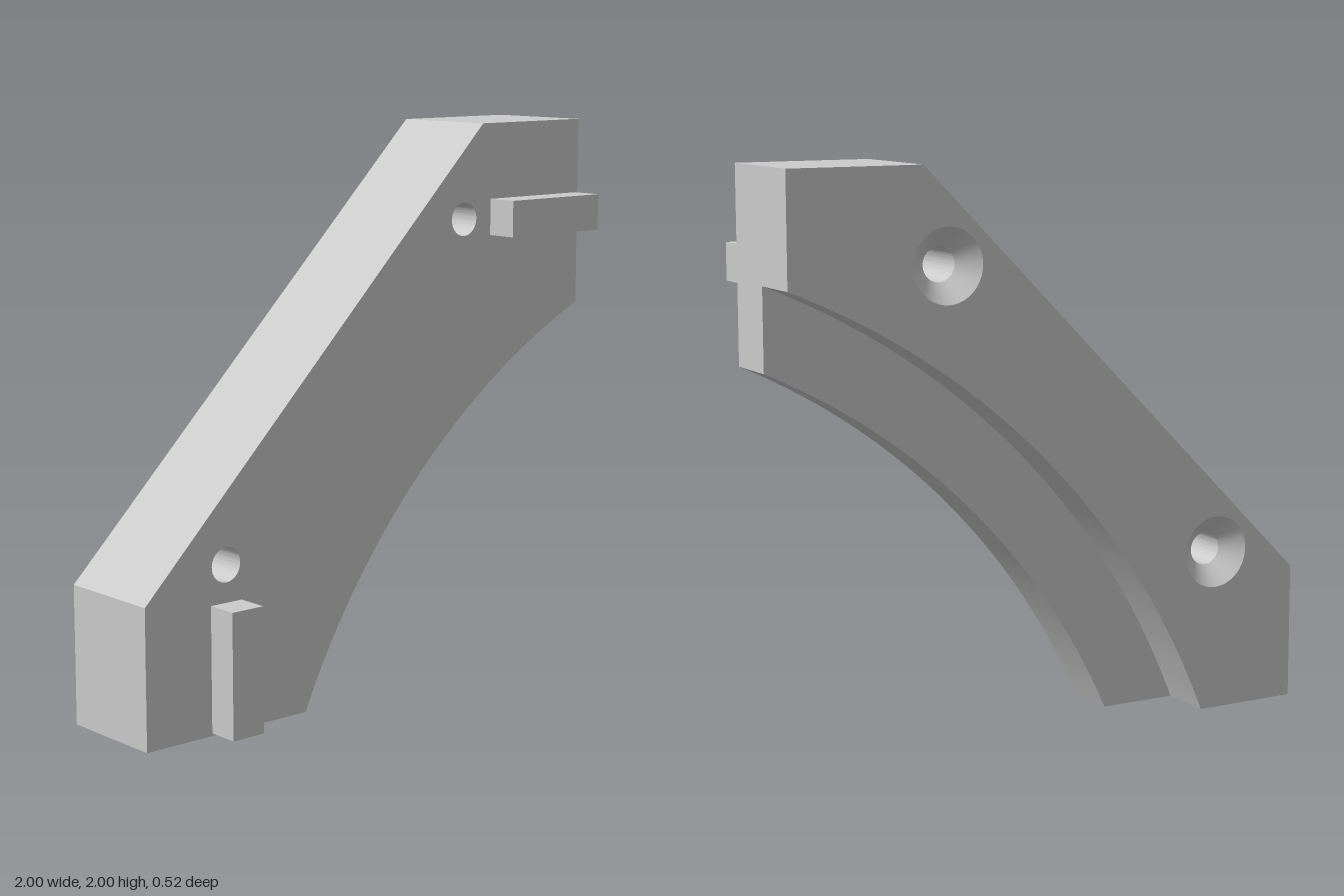
import * as THREE from 'three';
import { toCreasedNormals } from 'three/addons/utils/BufferGeometryUtils.js';

const material = new THREE.MeshStandardMaterial({ color: 0xcccccc });
const HOLES = [[0.42, 1.665], [-0.665, 0.58]];
const HOLE_R = 0.06, SINK_R = 0.13;
const FRONT = 0.145, STEP = -0.06, SINK = -0.19, BACK = -0.26;
const CX = 2.1, CY = -1.1; // shared centre of both concave arcs

function add(group, name, geometry) {
  const mesh = new THREE.Mesh(geometry, material);
  mesh.name = name;
  group.add(mesh);
  return mesh;
}

// Bracket outline with a concave lower edge, mirrored about the line x + y = 1
function layer(arcRadius, holeRadius, zBack, zFront) {
  const xStart = CX - Math.sqrt(arcRadius ** 2 - CY ** 2);
  const shape = new THREE.Shape();
  shape.moveTo(-1, 0);
  shape.lineTo(xStart, 0);
  shape.absarc(CX, CY, arcRadius,
    Math.atan2(-CY, xStart - CX), Math.atan2(1 - xStart - CY, 1 - CX), true);
  shape.lineTo(1, 2);
  shape.lineTo(0.51, 2);
  shape.lineTo(-1, 0.49);
  shape.closePath();
  for (const [x, y] of HOLES) {
    shape.holes.push(new THREE.Path().absarc(x, y, holeRadius, 0, Math.PI * 2, true));
  }
  const geometry = new THREE.ExtrudeGeometry(shape, {
    depth: zFront - zBack, bevelEnabled: false, curveSegments: 48,
  });
  geometry.translate(0, 0, zBack);
  return toCreasedNormals(geometry, 0.5);
}

// Raised bar on the front face
function bar(x0, x1, y0, y1) {
  const z1 = 0.26;
  const geometry = new THREE.BoxGeometry(x1 - x0, y1 - y0, z1 - FRONT);
  return geometry.translate((x0 + x1) / 2, (y0 + y1) / 2, (FRONT + z1) / 2);
}

export function createModel() {
  const group = new THREE.Group();
  group.name = 'cornerBracket';

  // Stepped body: deeper front plate, shallower back plate
  add(group, 'frontPlate', layer(2.66, HOLE_R, STEP, FRONT));
  add(group, 'backPlate', layer(2.925, HOLE_R, SINK, STEP));
  add(group, 'backPlateRim', layer(2.925, SINK_R, BACK, SINK));

  // Conical countersinks opening to the back
  HOLES.forEach(([x, y], i) => {
    const cone = new THREE.CylinderGeometry(HOLE_R, SINK_R, SINK - BACK, 48, 1, true);
    cone.rotateX(Math.PI / 2);
    const mesh = add(group, `countersink${i + 1}`, cone);
    mesh.material = material.clone();
    mesh.material.side = THREE.DoubleSide;
    mesh.position.set(x, y, (SINK + BACK) / 2);
  });

  // Locating bars
  add(group, 'upperBar', bar(0.55, 0.99, 1.6, 1.73));
  add(group, 'lowerBar', bar(-0.73, -0.6, 0.01, 0.45));
  return group;
}
